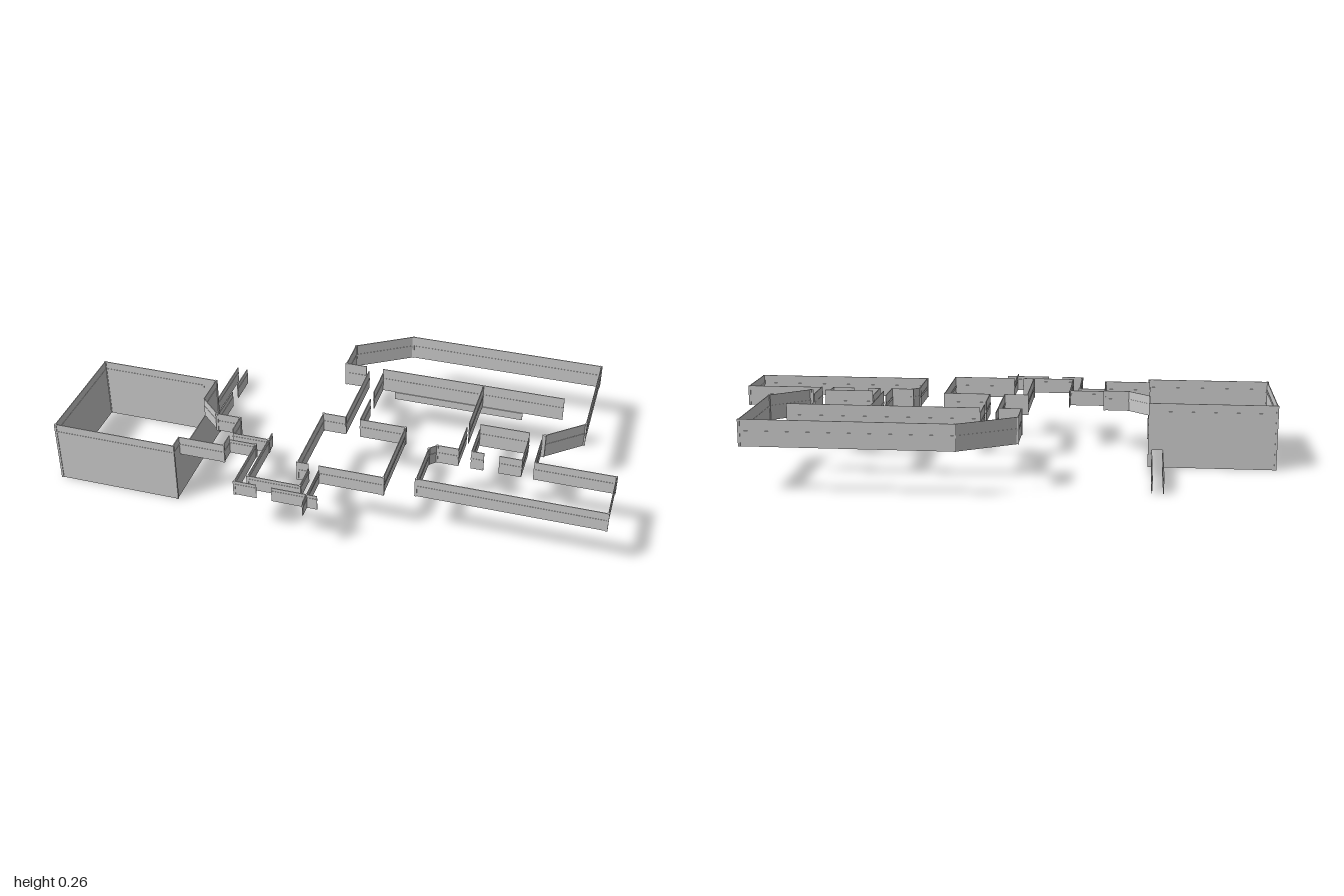
import * as THREE from 'three';

const T = 0.003; // wall thickness

export function createModel() {
  const model = new THREE.Group();
  const mat = new THREE.MeshStandardMaterial({ color: 0xcccccc, flatShading: true, side: THREE.DoubleSide });

  // one straight upright slab between two plan points
  function slab(parent, name, [x0, z0], [x1, z1], y0, y1, t = T) {
    const len = Math.hypot(x1 - x0, z1 - z0);
    const m = new THREE.Mesh(new THREE.BoxGeometry(len, y1 - y0, t), mat);
    m.name = name;
    m.position.set((x0 + x1) / 2, (y0 + y1) / 2, (z0 + z1) / 2);
    m.rotation.y = -Math.atan2(z1 - z0, x1 - x0);
    parent.add(m);
  }

  // walls along plan paths, with a rail and corner posts
  function walls(name, y0, y1, paths, rail = y0 + 0.04) {
    const g = new THREE.Group();
    g.name = name;
    for (const path of paths) {
      for (let i = 0; i + 1 < path.length; i++) {
        slab(g, 'wall', path[i], path[i + 1], y0, y1);
        slab(g, 'rail', path[i], path[i + 1], rail - 0.005, rail + 0.005, T * 1.8);
      }
      for (const [x, z] of path.slice(1, -1)) {
        const post = new THREE.Mesh(new THREE.BoxGeometry(0.008, y1 - y0, 0.008), mat);
        post.name = 'cornerPost';
        post.position.set(x, (y0 + y1) / 2, z);
        g.add(post);
      }
    }
    model.add(g);
    return g;
  }

  // tall hall: open above the sill on the right, low door at the back
  const hall = walls('tallHall', 0, 0.24, [
    [[-0.54, 0.33], [-0.54, 0.385], [-0.998, 0.385], [-0.998, -0.045], [-0.59, -0.045]],
    [[-0.55, -0.045], [-0.54, -0.045], [-0.54, 0.08]],
  ], 0.205);
  slab(hall, 'sillWall', [-0.54, 0.08], [-0.54, 0.33], 0, 0.165);
  slab(hall, 'doorLintel', [-0.59, -0.045], [-0.55, -0.045], 0.065, 0.24);

  // low passage behind the hall
  walls('lowPassage', 0, 0.065, [
    [[-0.59, -0.05], [-0.59, -0.395]],
    [[-0.55, -0.05], [-0.55, -0.225]],
    [[-0.55, -0.28], [-0.55, -0.395]],
  ]);

  // funnel out of the hall
  walls('funnel', 0.165, 0.24, [
    [[-0.54, 0.08], [-0.46, 0.155], [-0.37, 0.155], [-0.37, 0.23]],
    [[-0.54, 0.33], [-0.37, 0.33], [-0.37, 0.27]],
  ]);

  // winding passage to the square room
  walls('windingPassage', 0.165, 0.222, [
    [[-0.37, 0.23], [-0.235, 0.23], [-0.235, 0.45], [-0.045, 0.45], [-0.045, 0.35]],
    [[-0.235, 0.19], [-0.235, 0.23]],
    [[-0.37, 0.27], [-0.27, 0.27], [-0.27, 0.49], [-0.19, 0.49]],
    [[-0.135, 0.49], [0.03, 0.49]],
    [[-0.008, 0.35], [-0.008, 0.535]],
  ]);

  // square room
  walls('squareRoom', 0.165, 0.242, [
    [[0, 0.045], [-0.085, 0.045], [-0.085, 0.35], [-0.045, 0.35]],
    [[-0.008, 0.35], [0.225, 0.35], [0.225, 0.045], [0.055, 0.045]],
  ]);

  // passage from the square room to the yard
  walls('yardPassage', 0.165, 0.242, [
    [[0, 0.045], [0, -0.27]],
    [[0.055, 0.045], [0.055, -0.09]],
    [[0.055, -0.14], [0.055, -0.27]],
  ]);

  // large chamfered yard and its inner wall
  const yard = walls('yard', 0.165, 0.26, [
    [[-0.01, -0.27], [-0.09, -0.27], [-0.09, -0.4], [0.11, -0.525], [0.85, -0.525],
      [0.85, -0.135], [0.72, -0.025], [0.71, -0.025]],
    [[0.055, -0.27], [0.75, -0.27]],
    [[0.445, -0.27], [0.445, -0.025]],
    [[0.485, -0.025], [0.665, -0.025]],
  ], 0.215);
  slab(yard, 'lowerWall', [0.105, -0.267], [0.6, -0.267], 0.135, 0.165);

  // two short links between the yard and the long room
  walls('links', 0.165, 0.242,
    [0.438, 0.485, 0.665, 0.71].map(x => [[x, -0.02], [x, 0.115]]));

  // long room with openings to the links
  walls('longRoom', 0.165, 0.24, [
    [[0.438, 0.115], [0.36, 0.115], [0.335, 0.14], [0.335, 0.322], [0.995, 0.322], [0.995, 0.115], [0.71, 0.115]],
    [[0.485, 0.115], [0.53, 0.115]],
    [[0.585, 0.115], [0.665, 0.115]],
  ]);

  return model;
}
